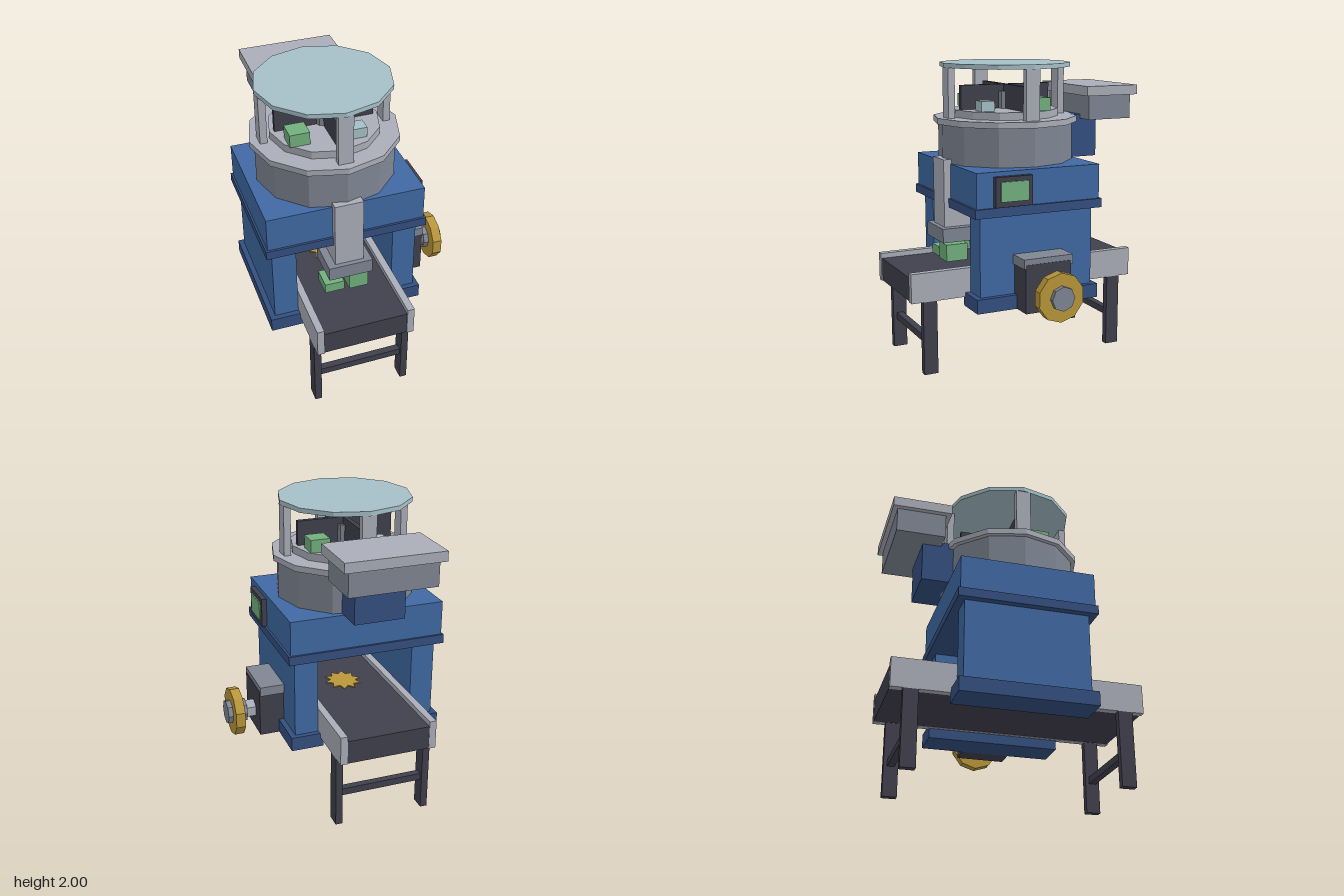
import * as THREE from 'three';

const CX = -0.16, CZ = 0.018; // machine axis

export function createModel() {
  const model = new THREE.Group();
  model.name = 'packingMachine';

  const mat = (name, color) => {
    const m = new THREE.MeshStandardMaterial({ color });
    m.name = name;
    m.flatShading = true;
    return m;
  };
  const blue = mat('blue', 0x4069a3), navy = mat('navy', 0x344f80);
  const lightGrey = mat('lightGrey', 0xaaadb8), grey = mat('grey', 0x7f8693);
  const dark = mat('dark', 0x403f4d), gold = mat('gold', 0xb8963a);
  const green = mat('green', 0x72b07d), glass = mat('glass', 0xa5c0c8);

  const add = (name, geo, m, x = 0, y = 0, z = 0) => {
    const mesh = new THREE.Mesh(geo, m);
    mesh.name = name;
    mesh.position.set(x, y, z);
    model.add(mesh);
    return mesh;
  };
  // Box given by its limits on each axis
  const box = (name, m, [x0, x1], [y0, y1], [z0, z1]) =>
    add(name, new THREE.BoxGeometry(x1 - x0, y1 - y0, z1 - z0), m,
      (x0 + x1) / 2, (y0 + y1) / 2, (z0 + z1) / 2);
  // Upright twelve-sided disc on the machine axis
  const disc = (name, m, r, y0, y1, n = 12) =>
    add(name, new THREE.CylinderGeometry(r, r, y1 - y0, n), m, CX, (y0 + y1) / 2, CZ);
  // Disc lying along x, with one corner upward
  const axle = (name, m, r, x0, x1, n) => {
    const g = new THREE.CylinderGeometry(r, r, x1 - x0, n, 1, false, Math.PI / 2);
    g.rotateZ(-Math.PI / 2);
    return add(name, g, m, (x0 + x1) / 2, 0.562, 0.012);
  };

  // Main frame
  box('headBlock', blue, [-0.682, 0.365], [1.115, 1.345], [-0.425, 0.461]);
  box('headBand', navy, [-0.695, 0.38], [1.055, 1.115], [-0.44, 0.476]);
  for (const s of [-1, 1]) {
    const span = (a, b) => [CX + s * a, CX + s * b].sort((p, q) => p - q);
    box('column', blue, span(0.33, 0.49), [0.525, 1.055], [-0.39, 0.425]);
    box('foot', navy, span(0.305, 0.525), [0.43, 0.525], [-0.425, 0.461]);
    // Conveyor rails and legs
    box('conveyorRail', lightGrey, span(0.281, 0.328), [0.495, 0.69], [-0.80, 0.835]);
    for (const z of [-0.672, 0.708]) {
      box('conveyorLeg', dark, span(0.281, 0.328), [0, 0.495], [z - 0.048, z + 0.048]);
    }
  }

  // Conveyor belt and leg braces
  box('conveyorBelt', dark, [-0.441, 0.121], [0.497, 0.655], [-0.798, 0.828]);
  for (const z of [-0.672, 0.708]) {
    box('legBrace', dark, [-0.441, 0.121], [0.2, 0.247], [z - 0.024, z + 0.024]);
  }

  // Star-shaped mark on the belt
  const star = new THREE.Shape();
  for (let i = 0; i < 20; i++) {
    const a = i / 20 * Math.PI * 2, r = i % 2 ? 0.085 : 0.125;
    star[i ? 'lineTo' : 'moveTo'](r * Math.cos(a), r * Math.sin(a) * 1.15);
  }
  star.closePath();
  const starGeo = new THREE.ExtrudeGeometry(star, { depth: 0.007, bevelEnabled: false });
  starGeo.rotateX(-Math.PI / 2);
  add('beltStar', starGeo, gold, CX, 0.655, CZ);

  // Delivery chute and the packs under it
  box('chute', lightGrey, [-0.255, -0.065], [0.92, 1.375], [0.31, 0.508]);
  box('chuteHead', grey, [-0.306, -0.012], [0.825, 0.92], [0.28, 0.54]);
  box('packRight', green, [-0.322, -0.192], [0.69, 0.757], [0.35, 0.5]);
  box('packLeft', green, [-0.16, -0.03], [0.69, 0.805], [0.36, 0.51]);
  box('packTop', green, [-0.24, -0.112], [0.757, 0.825], [0.31, 0.45]);

  // Drum with rim, turntable, posts and lid
  disc('drum', grey, 0.459, 1.345, 1.6);
  disc('drumRim', lightGrey, 0.49, 1.6, 1.64);
  disc('turntable', lightGrey, 0.36, 1.64, 1.69);
  disc('turntableHub', grey, 0.058, 1.69, 1.805, 8);
  box('dividerAcross', dark, [CX - 0.328, CX + 0.328], [1.69, 1.853], [CZ - 0.016, CZ + 0.016]);
  box('dividerAlong', dark, [CX - 0.016, CX + 0.016], [1.69, 1.853], [CZ - 0.328, CZ + 0.328]);
  for (let i = 0; i < 4; i++) {
    const a = i * Math.PI / 2;
    const post = add('lidPost', new THREE.BoxGeometry(0.098, 0.33, 0.047), lightGrey,
      CX + 0.408 * Math.sin(a), 1.805, CZ + 0.408 * Math.cos(a));
    post.rotation.y = a;
  }
  disc('lid', glass, 0.442, 1.97, 2);

  // Goods in the four compartments
  const good = (name, m, w, h, x, z) =>
    add(name, new THREE.BoxGeometry(w, h, w), m, CX + x, 1.69 + h / 2, CZ + z);
  good('greenGood', green, 0.13, 0.085, -0.225, 0.16);
  good('greenGood', green, 0.13, 0.085, 0.235, -0.13);
  good('paleGood', glass, 0.095, 0.067, 0.15, 0.212);
  good('paleGood', glass, 0.095, 0.067, -0.15, -0.212);

  // Rear hopper
  box('feedDuct', navy, [-0.33, 0.01], [1.345, 1.64], [-0.605, -0.38]);
  box('hopper', grey, [-0.452, 0.132], [1.61, 1.775], [-0.803, -0.477]);
  box('hopperLid', lightGrey, [-0.487, 0.168], [1.775, 1.84], [-0.835, -0.443]);

  // Control screen on the left side
  box('screenFrame', dark, [0.36, 0.4], [1.12, 1.315], [0.083, 0.345]);
  box('screen', green, [0.4, 0.408], [1.155, 1.283], [0.114, 0.31]);

  // Drive box and handwheel
  box('driveBox', dark, [0.33, 0.497], [0.43, 0.753], [-0.146, 0.18]);
  box('driveCap', grey, [0.33, 0.494], [0.727, 0.79], [-0.162, 0.192]);
  axle('driveShaft', lightGrey, 0.066, 0.49, 0.56, 6);
  axle('wheelHub', grey, 0.081, 0.56, 0.692, 8);
  axle('handwheel', gold, 0.163, 0.596, 0.66, 10);

  return model;
}
